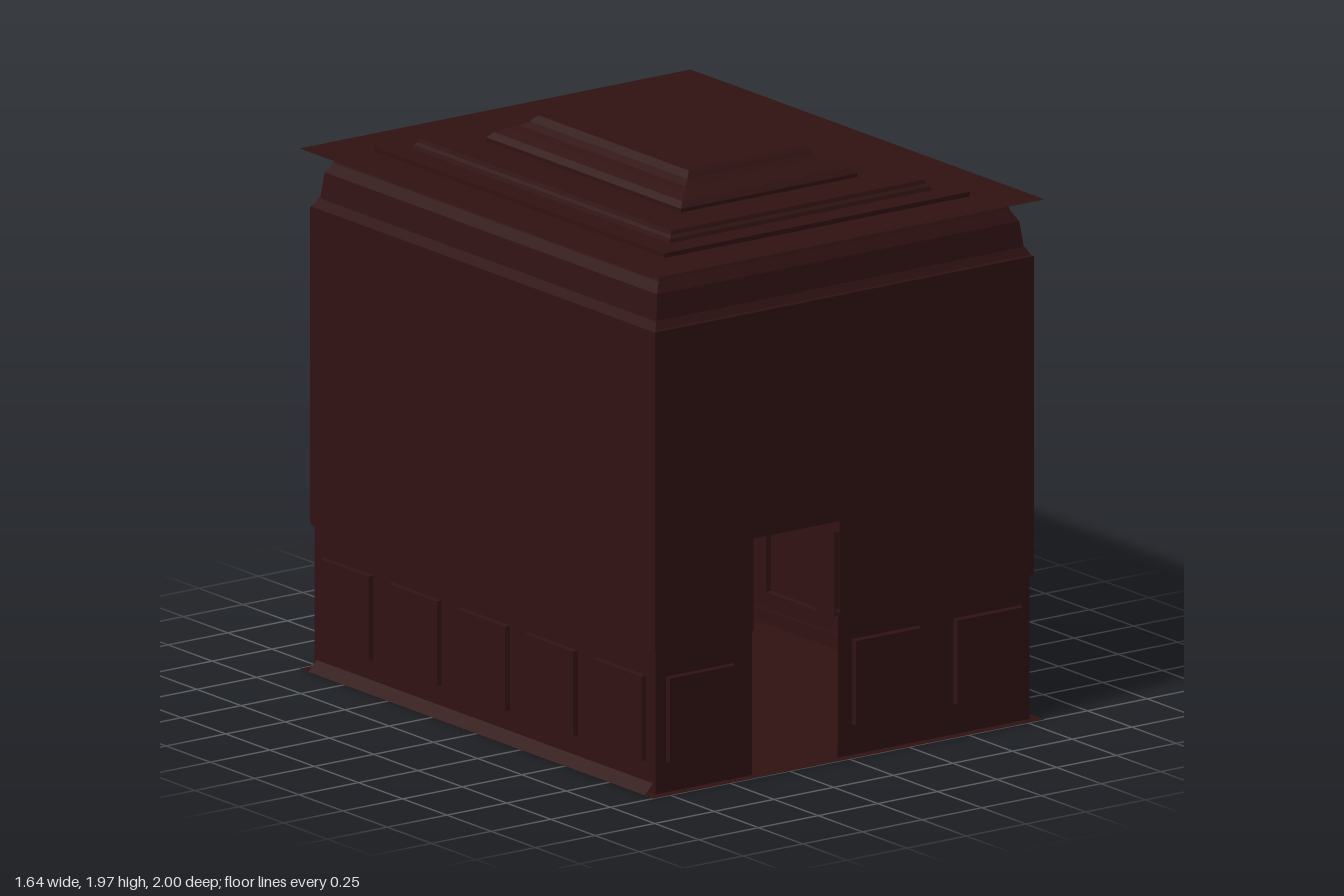
import * as THREE from 'three';

const HX = 0.82, HZ = 1.0;             // half extents of floor and ceiling
const RAIL = 0.51, WALL_TOP = 1.62;    // heights
const LOW = 0.036, UP = 0.026;         // insets of wainscot and upper wall
const PANEL = { w: 0.28, y0: 0.105, y1: 0.405, depth: 0.017 };

const material = new THREE.MeshStandardMaterial({ color: 0x301212, side: THREE.DoubleSide, flatShading: true });

function add(parent, name, geometry, x = 0, y = 0, z = 0) {
  const mesh = new THREE.Mesh(geometry, material);
  mesh.name = name;
  mesh.position.set(x, y, z);
  parent.add(mesh);
  return mesh;
}

// Sweep a profile of [inset, height] points around a rectangle with mitred corners
function rectSweep(hx, hz, profile) {
  const corners = [[1, 1], [1, -1], [-1, -1], [-1, 1]];
  const at = ([d, y], [sx, sz]) => [sx * (hx - d), y, sz * (hz - d)];
  const pos = [];
  for (let i = 0; i < profile.length - 1; i++) {
    for (let k = 0; k < 4; k++) {
      const c = corners[k], n = corners[(k + 1) % 4];
      const a = at(profile[i], c), b = at(profile[i], n);
      const e = at(profile[i + 1], n), f = at(profile[i + 1], c);
      pos.push(...a, ...b, ...e, ...a, ...e, ...f);
    }
  }
  const g = new THREE.BufferGeometry();
  g.setAttribute('position', new THREE.Float32BufferAttribute(pos, 3));
  g.computeVertexNormals();
  return g;
}

const polygon = (points) => points.map(([x, y]) => new THREE.Vector2(x, y));
const rect = (x0, x1, y0, y1) => polygon([[x0, y0], [x1, y0], [x1, y1], [x0, y1]]);

// One stretch of wainscot between x0 and x1, with recessed panels
function wainscot(parent, x0, x1, dist, centres) {
  const { w, y0, y1, depth } = PANEL;
  const shape = new THREE.Shape(rect(x0, x1, 0, RAIL));
  const h = (y1 - y0) / 2;
  for (const c of centres) {
    shape.holes.push(new THREE.Path(rect(c - w / 2, c + w / 2, y0, y1)));
    const tray = rectSweep(w / 2, h, [[0, 0], [0.004, depth], [h - 0.001, depth]]);
    tray.rotateX(Math.PI / 2);
    // close the middle of the panel
    add(parent, 'wainscotPanel', tray, c, (y0 + y1) / 2, dist - LOW);
  }
  add(parent, 'wainscot', new THREE.ShapeGeometry(shape), 0, 0, dist - LOW);
  const len = x1 - x0, mid = (x0 + x1) / 2;
  add(parent, 'chairRail', new THREE.BoxGeometry(len, 0.008, 0.025), mid, RAIL, dist - UP - 0.0125);
  add(parent, 'baseboard', new THREE.BoxGeometry(len, 0.05, 0.012), mid, 0.025, dist - LOW - 0.007);
}

// A whole wall in local space: x along the wall, +z outwards
function wall(name, angle, half, dist, centres, door) {
  const g = new THREE.Group();
  g.name = name;
  g.rotation.y = angle;
  const a = half - LOW, b = half - UP;
  let outline = [[-b, RAIL], [b, RAIL], [b, WALL_TOP], [-b, WALL_TOP]];
  if (door) {
    const [d0, d1] = door, top = 0.83;
    outline = [[-b, RAIL], [d0, RAIL], [d0, top], [d1, top], [d1, RAIL], ...outline.slice(1)];
    wainscot(g, -a, d0, dist, centres.filter((c) => c < d0));
    wainscot(g, d1, a, dist, centres.filter((c) => c > d1));
  } else {
    wainscot(g, -a, a, dist, centres);
  }
  add(g, 'upperWall', new THREE.ShapeGeometry(new THREE.Shape(polygon(outline))), 0, 0, dist - UP);
  return g;
}

export function createModel() {
  const room = new THREE.Group();
  room.name = 'room';

  // Floor
  add(room, 'floor', new THREE.PlaneGeometry(HX * 2, HZ * 2).rotateX(-Math.PI / 2));

  // Walls, with a doorway through front and back
  const sidePanels = [-0.77, -0.385, 0, 0.385, 0.77];
  const frontPanels = [-0.6, 0.18, 0.605];
  room.add(wall('frontWall', 0, HX, HZ, frontPanels, [-0.38, -0.02]));
  room.add(wall('backWall', Math.PI, HX, HZ, frontPanels.map((c) => -c), [0.02, 0.38]));
  room.add(wall('leftWall', Math.PI / 2, HZ, HX, sidePanels));
  room.add(wall('rightWall', -Math.PI / 2, HZ, HX, sidePanels));

  // Sloping skirting along the foot of one wall
  const skirting = new THREE.PlaneGeometry(1.9, 0.05);
  skirting.rotateX(-Math.PI / 4).rotateY(-Math.PI / 2);
  add(room, 'skirting', skirting, -0.802, 0.018, 0);

  // Crown moulding
  add(room, 'crownMoulding', rectSweep(HX, HZ, [
    [UP, WALL_TOP], [0.034, 1.625], [0.046, 1.65], [0.05, 1.65], [0.061, 1.74],
    [0.07, 1.755], [0.082, 1.775], [0.095, 1.81], [0.1, 1.82],
  ]));

  // Ceiling rising in stepped coffers
  add(room, 'cofferedCeiling', rectSweep(HX, HZ, [
    [0, 1.82], [0.18, 1.82], [0.18, 1.836], [0.27, 1.836], [0.275, 1.85], [0.285, 1.858],
    [0.29, 1.872], [0.45, 1.872], [0.45, 1.885], [0.468, 1.905], [0.5, 1.92],
    [0.53, 1.932], [0.555, 1.948], [0.565, 1.96], [0.575, 1.97], [HX, 1.97],
  ]));

  return room;
}
